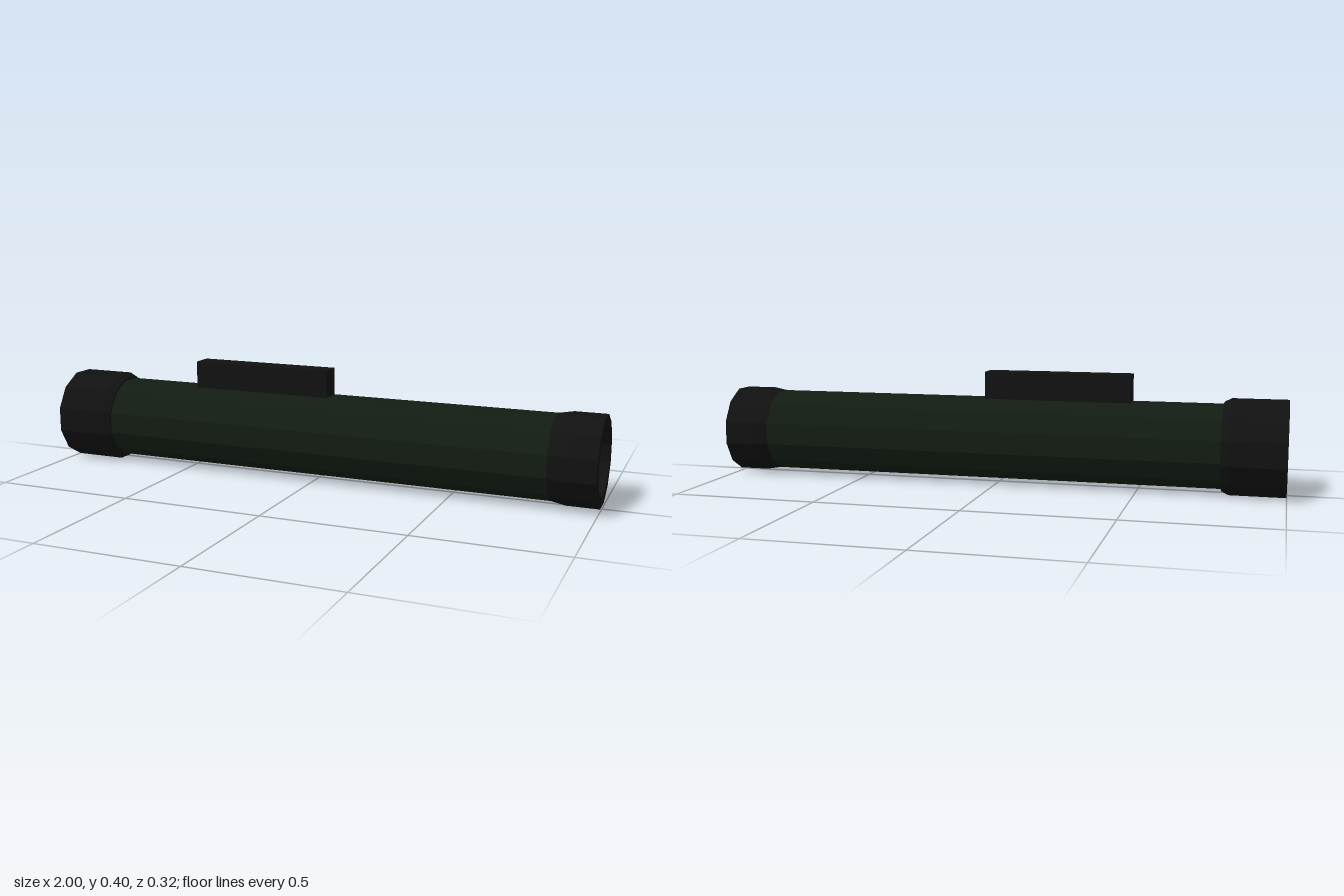
import * as THREE from 'three';

const SIDES = 12;
const AXIS_Y = 0.16;
// profiles give face-to-axis distances; the lathe needs corner radii
const CORNER = 1 / Math.cos(Math.PI / SIDES);
const BORE = 0.113;

const black = new THREE.MeshStandardMaterial({ color: 0x111111, flatShading: true });
const green = new THREE.MeshStandardMaterial({ color: 0x121c12, flatShading: true });

// Twelve-sided ring along x from [x, distance] points: outside left to right, then bore back
function ring(name, profile, material) {
  const points = profile.map(([x, d]) => new THREE.Vector2(d * CORNER, x));
  const geometry = new THREE.LatheGeometry(points, SIDES, Math.PI / SIDES);
  geometry.rotateZ(-Math.PI / 2);
  const mesh = new THREE.Mesh(geometry, material);
  mesh.name = name;
  mesh.position.y = AXIS_Y;
  return mesh;
}

export function createModel() {
  const model = new THREE.Group();
  model.name = 'launchTube';

  // Long hollow tube, open at both ends
  model.add(ring('tubeOutside', [[-0.79, 0.141], [0.85, 0.141]], green));
  model.add(ring('tubeBore', [[0.89, BORE], [-0.79, BORE]], green));

  // Large collar with a small chamfer towards the tube
  model.add(ring('rearCollar', [
    [-0.79, BORE], [-1, BORE], [-1, 0.16], [-0.81, 0.16], [-0.785, 0.148], [-0.785, 0.141],
  ], black));

  // Slimmer flared collar at the other end
  model.add(ring('muzzleCollar', [
    [0.84, 0.141], [0.89, 0.15], [1, 0.15], [1, BORE], [0.89, BORE],
  ], black));

  // Sight block sitting on the tube
  const sight = new THREE.Mesh(new THREE.BoxGeometry(0.515, 0.107, 0.074), black);
  sight.name = 'sightBlock';
  sight.position.set(-0.215, 0.3435, 0);
  model.add(sight);

  return model;
}
